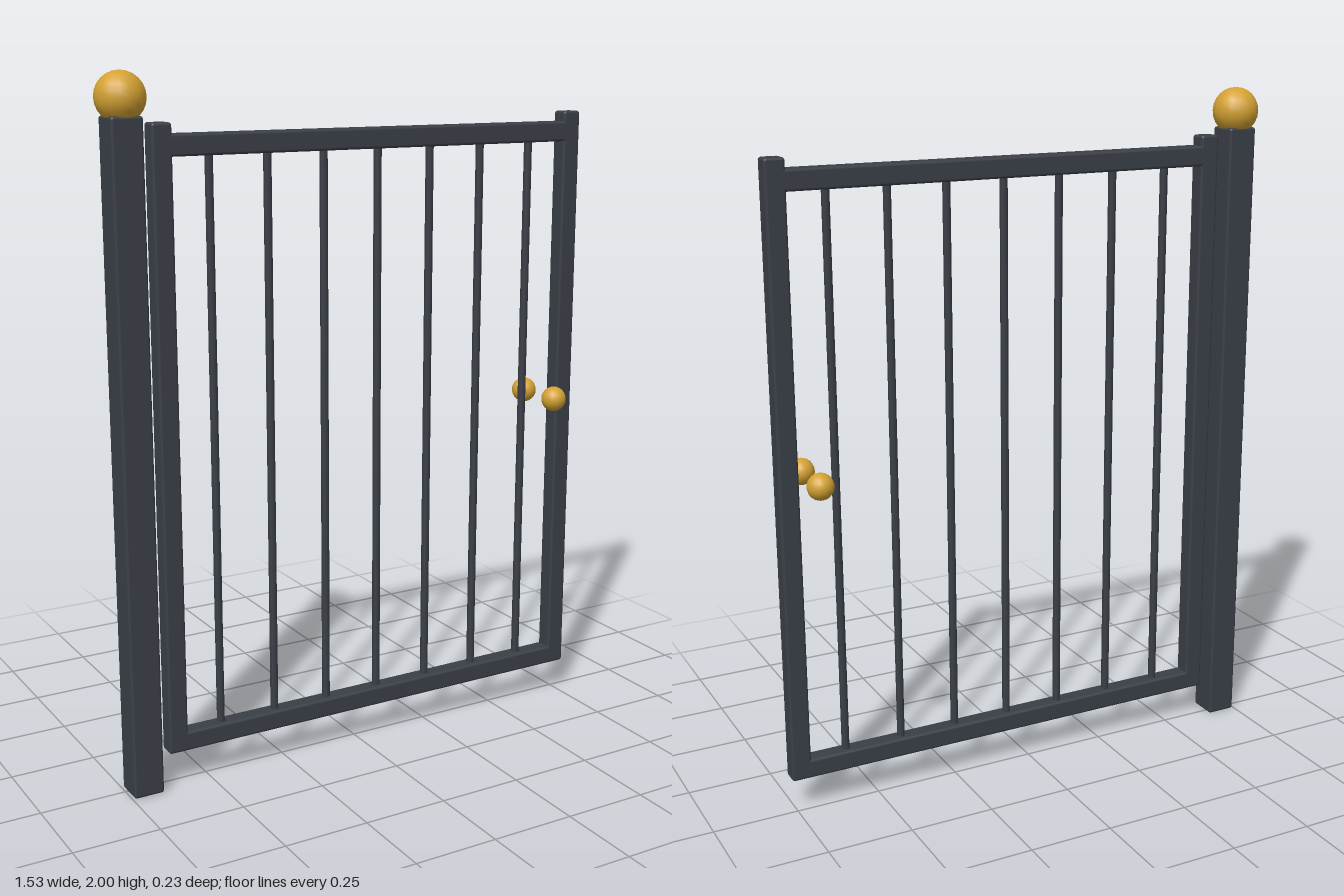
import * as THREE from 'three';
import { RoundedBoxGeometry } from 'three/addons/geometries/RoundedBoxGeometry.js';

const Z = 0.016; // depth of the gate plane

export function createModel() {
  const gate = new THREE.Group();
  gate.name = 'gate';

  const iron = new THREE.MeshStandardMaterial({ color: 0x3a3f47 });
  iron.name = 'dark iron';
  const brass = new THREE.MeshStandardMaterial({ color: 0xd4a233 });
  brass.name = 'brass';

  const add = (name, geometry, material, x, y, z) => {
    const mesh = new THREE.Mesh(geometry, material);
    mesh.name = name;
    mesh.position.set(x, y, z);
    gate.add(mesh);
  };
  // Bevelled iron member given by its x and y extents
  const member = (name, x0, x1, y0, y1, depth) =>
    add(name, new RoundedBoxGeometry(x1 - x0, y1 - y0, depth, 2, 0.008),
      iron, (x0 + x1) / 2, (y0 + y1) / 2, Z);
  const ball = (name, radius, x, y, z) =>
    add(name, new THREE.SphereGeometry(radius, 16, 12), brass, x, y, z);

  // Hinge post with ball finial
  member('post', -0.745, -0.655, 0, 1.885, 0.09);
  ball('finial', 0.068, -0.7, 1.932, Z);

  // Gate frame
  member('hingeStile', -0.627, -0.569, 0.1, 1.866, 0.053);
  member('latchStile', 0.706, 0.764, 0.1, 1.866, 0.053);
  member('bottomRail', -0.627, 0.764, 0.1, 0.157, 0.053);
  member('topRail', -0.627, 0.764, 1.777, 1.836, 0.053);

  // Vertical bars
  const barGeometry = new THREE.CylinderGeometry(0.012, 0.012, 1.66, 8);
  for (let i = 0; i < 7; i++) {
    add('bar', barGeometry, iron, -0.455 + i * 0.1745, 0.967, Z);
  }

  // Knobs on both faces
  ball('frontKnob', 0.038, 0.67, 0.995, 0.077);
  ball('backKnob', 0.038, 0.67, 0.995, -0.077);

  return gate;
}
